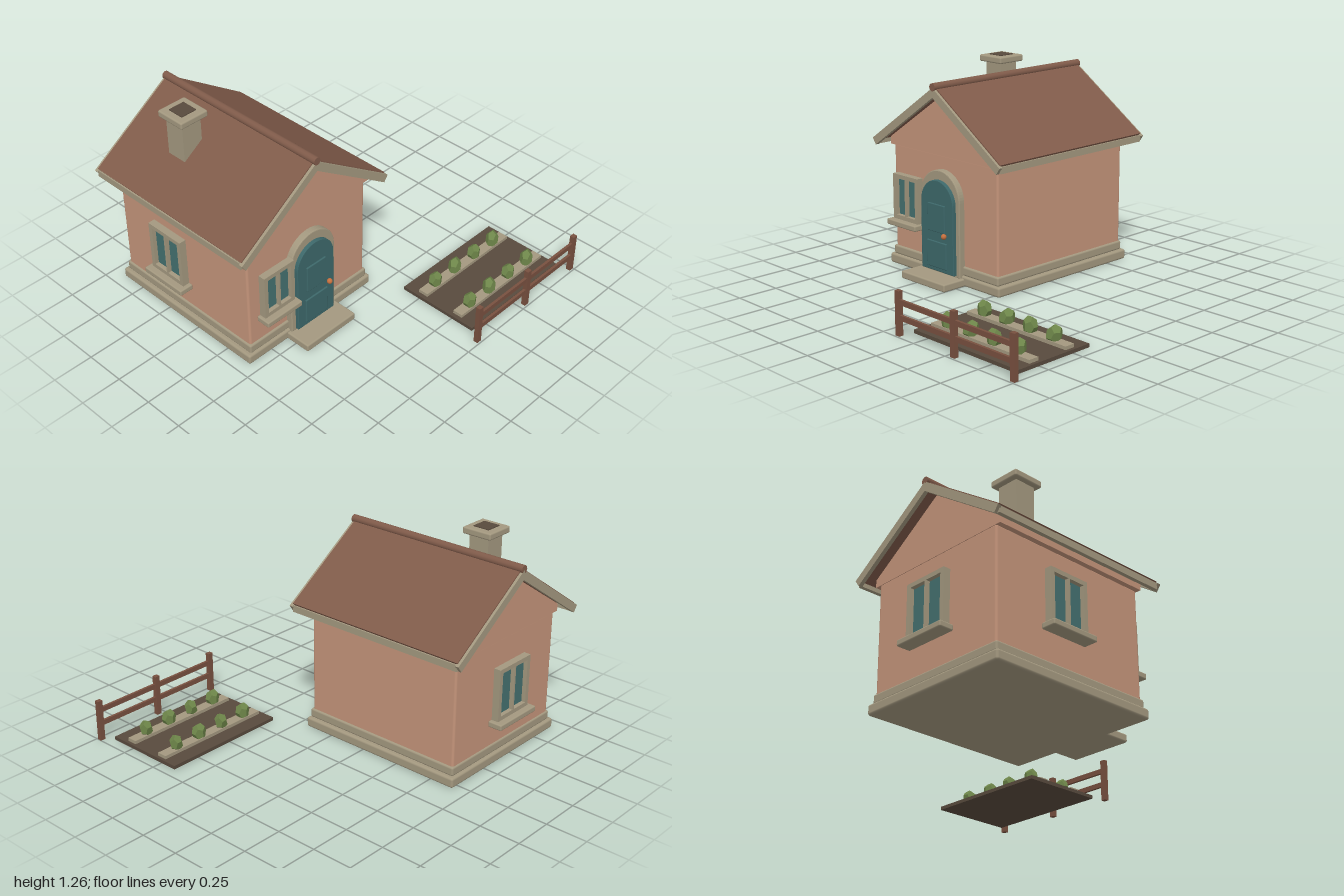
import * as THREE from 'three';
import { RoundedBoxGeometry } from 'three/addons/geometries/RoundedBoxGeometry.js';

const mat = (name, color) => {
  const m = new THREE.MeshStandardMaterial({ color });
  m.name = name;
  return m;
};

export function createModel() {
  const plaster = mat('plaster', 0xc4947a);
  const stone = mat('stone', 0xa3987f);
  const roofTile = mat('roof tile', 0x805b4a);
  const teal = mat('teal paint', 0x3d686a);
  const glassMat = mat('glass', 0x44706f);
  const soilMat = mat('soil', 0x584a3d);
  const leaf = mat('leaf', 0x6d8549);
  const wood = mat('wood', 0x78503f);
  const copper = mat('copper', 0xc4703f);
  leaf.flatShading = true;

  const model = new THREE.Group();
  model.name = 'cottageWithGarden';
  const group = (name, parent = model) => {
    const g = new THREE.Group();
    g.name = name;
    parent.add(g);
    return g;
  };
  const add = (parent, name, geometry, material, x = 0, y = 0, z = 0) => {
    const m = new THREE.Mesh(geometry, material);
    m.name = name;
    m.position.set(x, y, z);
    parent.add(m);
    return m;
  };
  // Box given by its minimum and maximum corners, with optional rounded edges
  const box = (parent, name, material, [x0, y0, z0], [x1, y1, z1], r = 0) => {
    const s = [x1 - x0, y1 - y0, z1 - z0];
    const g = r ? new RoundedBoxGeometry(...s, 2, r) : new THREE.BoxGeometry(...s);
    return add(parent, name, g, material, (x0 + x1) / 2, (y0 + y1) / 2, (z0 + z1) / 2);
  };
  const polygon = (pts) => new THREE.Shape(pts.map(([x, y]) => new THREE.Vector2(x, y)));
  const extrude = (shape, depth, bevel = 0) => new THREE.ExtrudeGeometry(shape, {
    depth: depth - bevel, bevelEnabled: bevel > 0, bevelSize: bevel, bevelOffset: -bevel,
    bevelThickness: bevel, bevelSegments: 2, curveSegments: 16,
  });

  // House, centred on its own ridge line
  const cx = -0.436;
  const house = group('house');
  house.position.x = cx;
  box(house, 'foundation', stone, [-0.489, 0, -0.91], [0.489, 0.062, 0.19], 0.014);
  box(house, 'plinth', stone, [-0.467, 0.06, -0.893], [0.467, 0.117, 0.177], 0.012);
  box(house, 'walls', plaster, [-0.456, 0.1, -0.885], [0.456, 0.765, 0.165], 0.014);
  add(house, 'gables', extrude(polygon([[-0.487, 0.755], [0.487, 0.755], [0.487, 0.8], [0, 1.125], [-0.487, 0.8]]), 1.056),
    plaster, 0, 0, -0.888);

  // Roof: chevron sections run along the house
  const slope = 0.68;
  const chevron = (halfWidth, apex, thick) => {
    const inner = halfWidth - thick * 0.47;
    const low = apex - thick;
    return polygon([[0, apex], [-halfWidth, apex - halfWidth * slope], [-inner, low - inner * slope],
      [0, low], [inner, low - inner * slope], [halfWidth, apex - halfWidth * slope]]);
  };
  const roof = group('roof', house);
  add(roof, 'roofSlopes', extrude(chevron(0.55, 1.182, 0.04), 1.19), roofTile, 0, 0, -0.957);
  for (const z of [-0.973, 0.226]) {
    add(roof, 'bargeboard', extrude(chevron(0.56, 1.174, 0.058), 0.024), stone, 0, 0, z);
  }
  for (const s of [-1, 1]) {
    const x = s * 0.54;
    box(roof, 'eaveBoard', stone, [x - 0.012, 0.757, -0.955], [x + 0.012, 0.797, 0.23]);
  }
  const ridge = add(roof, 'ridgeCap', new THREE.CylinderGeometry(0.024, 0.024, 1.224, 12), roofTile, 0, 1.178, -0.361);
  ridge.rotation.x = Math.PI / 2;

  // Chimney
  const chimney = group('chimney', house);
  chimney.position.set(-0.243, 0, -0.535);
  box(chimney, 'chimneyShaft', stone, [-0.066, 0.9, -0.066], [0.066, 1.22, 0.066]);
  box(chimney, 'chimneyCap', stone, [-0.096, 1.212, -0.098], [0.096, 1.254, 0.098], 0.01);
  box(chimney, 'flueOpening', soilMat, [-0.052, 1.25, -0.053], [0.052, 1.259, 0.053]);

  // Arched doorway
  const arch = (halfWidth, y0, springY) => {
    const s = new THREE.Shape();
    s.moveTo(-halfWidth, y0);
    s.lineTo(halfWidth, y0);
    s.lineTo(halfWidth, springY);
    s.absarc(0, springY, halfWidth, 0, Math.PI, false);
    return s;
  };
  const doorway = group('doorway', house);
  add(doorway, 'doorSurround', extrude(arch(0.172, 0.045, 0.505), 0.045, 0.006), stone, 0, 0, 0.16);
  add(doorway, 'door', extrude(arch(0.142, 0.06, 0.478), 0.024, 0.004), teal, 0, 0, 0.204);
  box(doorway, 'upperPanel', teal, [-0.075, 0.305, 0.222], [0.075, 0.477, 0.237], 0.005);
  box(doorway, 'lowerPanel', teal, [-0.087, 0.085, 0.222], [0.087, 0.247, 0.237], 0.005);
  add(doorway, 'doorKnob', new THREE.SphereGeometry(0.017, 14, 10), copper, 0.086, 0.298, 0.252);
  box(doorway, 'doorStep', stone, [-0.193, 0, 0.15], [0.193, 0.048, 0.35], 0.01);

  // Twin-pane windows; each faces +z with its wall at z = 0
  const addWindow = (name, w, y0, y1, sillWidth, x, z, turn) => {
    const win = group(name, house);
    win.position.set(x, 0, z);
    win.rotation.y = turn;
    const h = w / 2;
    const bar = 0.026;
    const frame = polygon([[-h, y0], [h, y0], [h, y1], [-h, y1]]);
    for (const [a, b] of [[-h + bar, -0.006], [0.006, h - bar]]) {
      frame.holes.push(polygon([[a, y0 + bar], [a, y1 - bar], [b, y1 - bar], [b, y0 + bar]]));
    }
    add(win, 'windowFrame', extrude(frame, 0.044), stone, 0, 0, 0.024);
    box(win, 'windowGlass', glassMat, [-h + 0.01, y0 + 0.01, 0.034], [h - 0.01, y1 - 0.01, 0.042]);
    box(win, 'windowSill', stone, [-sillWidth / 2, y0 - 0.036, 0.018], [sillWidth / 2, y0, 0.108], 0.008);
  };
  addWindow('frontWindow', 0.225, 0.315, 0.596, 0.262, -0.282, 0.165, 0);
  addWindow('backWindow', 0.285, 0.297, 0.617, 0.335, 0, -0.885, Math.PI);
  addWindow('sideWindow', 0.265, 0.303, 0.615, 0.312, -0.456, -0.437, -Math.PI / 2);

  // Vegetable bed with two planted rows
  const garden = group('garden');
  box(garden, 'soilBed', soilMat, [0.144, 0.004, 0.385], [0.94, 0.025, 0.905]);
  const bush = new THREE.DodecahedronGeometry(1, 0);
  for (const z of [0.512, 0.775]) {
    box(garden, 'plantingRow', stone, [0.17, 0.02, z - 0.032], [0.92, 0.045, z + 0.032]);
    for (let i = 0; i < 4; i++) {
      const plant = add(garden, 'plant', bush, leaf, 0.277 + i * 0.177, 0.075, z);
      plant.scale.set(0.046, 0.057, 0.04);
      if (i % 2) plant.rotation.set(0, 0.5, -0.45);
    }
  }

  // Post and rail fence
  const fence = group('fence');
  for (const x of [0.107, 0.545, 0.984]) {
    box(fence, 'fencePost', wood, [x - 0.016, 0, 0.962], [x + 0.016, 0.255, 0.99]);
  }
  for (const y of [0.105, 0.192]) {
    box(fence, 'fenceRail', wood, [0.1, y - 0.015, 0.968], [0.99, y + 0.015, 0.984]);
  }

  return model;
}
